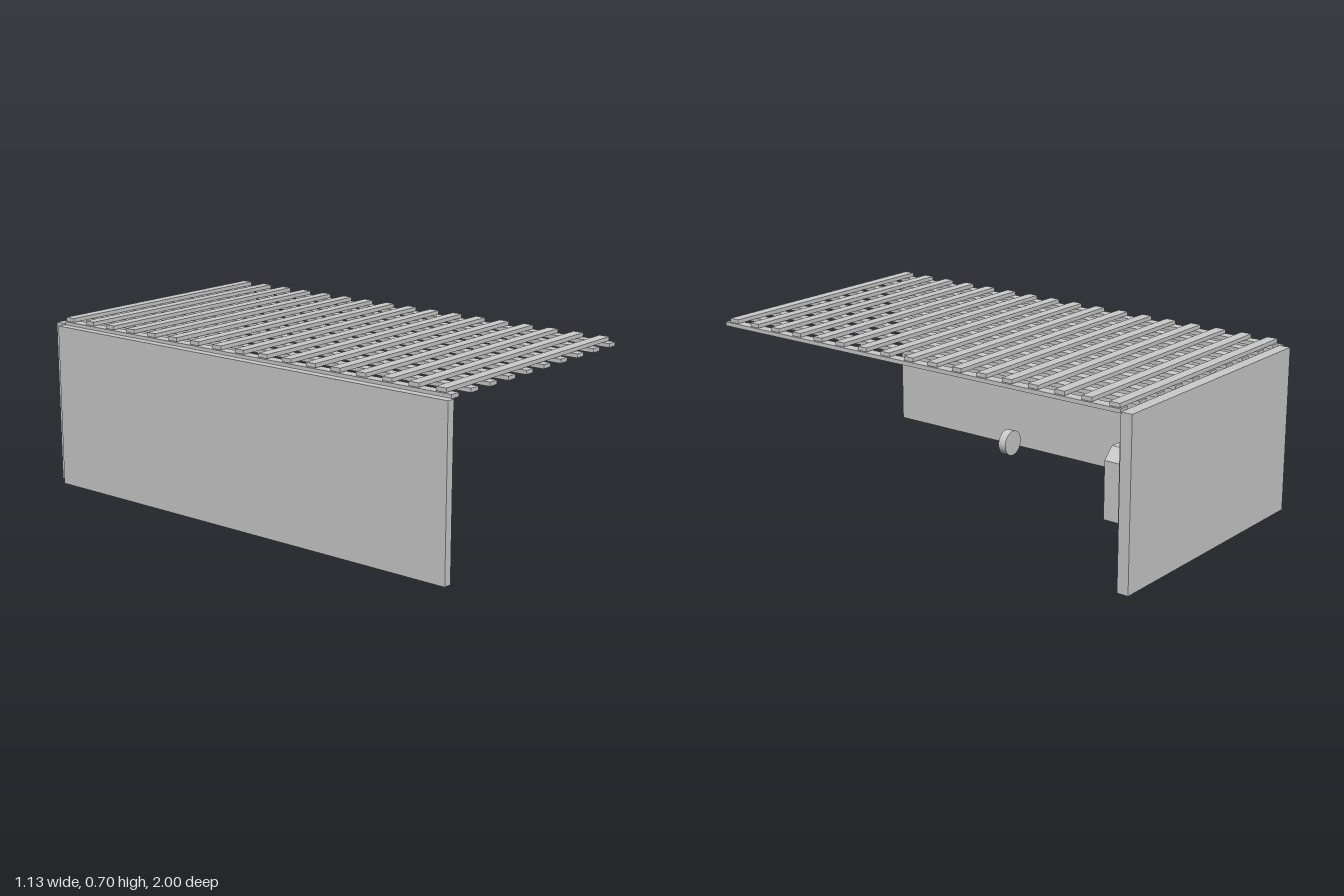
import * as THREE from 'three';

export function createModel() {
  const model = new THREE.Group();
  const material = new THREE.MeshStandardMaterial({ color: 0xcccccc });

  const add = (name, geometry, parent = model) => {
    const mesh = new THREE.Mesh(geometry, material);
    mesh.name = name;
    parent.add(mesh);
    return mesh;
  };
  // Box given by its extents on each axis
  const box = (name, [x0, x1], [y0, y1], [z0, z1], parent) =>
    add(name, new THREE.BoxGeometry(x1 - x0, y1 - y0, z1 - z0), parent)
      .position.set((x0 + x1) / 2, (y0 + y1) / 2, (z0 + z1) / 2);

  // Two walls meeting at the back corner
  box('sideWall', [-0.565, -0.531], [0, 0.671], [-0.952, 1]);
  box('backWall', [-0.53, 0.565], [0.005, 0.675], [-1, -0.953]);

  // Roof lattice: long beams below, cross slats on top
  const roof = new THREE.Group();
  roof.name = 'roofLattice';
  model.add(roof);
  const slat = 0.022;
  for (let i = 0; i < 10; i++) {
    const x = -0.507 + i * 0.1164;
    box('roofBeam', [x - slat, x + slat], [0.668, 0.684], [-0.95, 0.988], roof);
  }
  for (let i = 0; i < 17; i++) {
    const z = -0.923 + i * 0.1165;
    box('crossSlat', [-0.525, 0.559], [0.686, 0.702], [z - slat, z + slat], roof);
  }

  // Tall block near the back wall
  box('rearBlock', [-0.176, 0.209], [0.06, 0.422], [-0.823, -0.712]);

  // Smaller block in front of it with chamfered upper corners
  const outline = new THREE.Shape([
    [-0.085, 0.06], [0.118, 0.06], [0.118, 0.3],
    [0.07, 0.347], [-0.036, 0.347], [-0.085, 0.3],
  ].map(([x, y]) => new THREE.Vector2(x, y)));
  add('frontBlock', new THREE.ExtrudeGeometry(outline, { depth: 0.125, bevelEnabled: false }))
    .position.z = -0.709;

  // Upright disc facing the front
  const disc = add('disc', new THREE.CylinderGeometry(0.051, 0.051, 0.034, 48));
  disc.rotation.x = Math.PI / 2;
  disc.position.set(0.017, 0.237, -0.051);

  return model;
}
